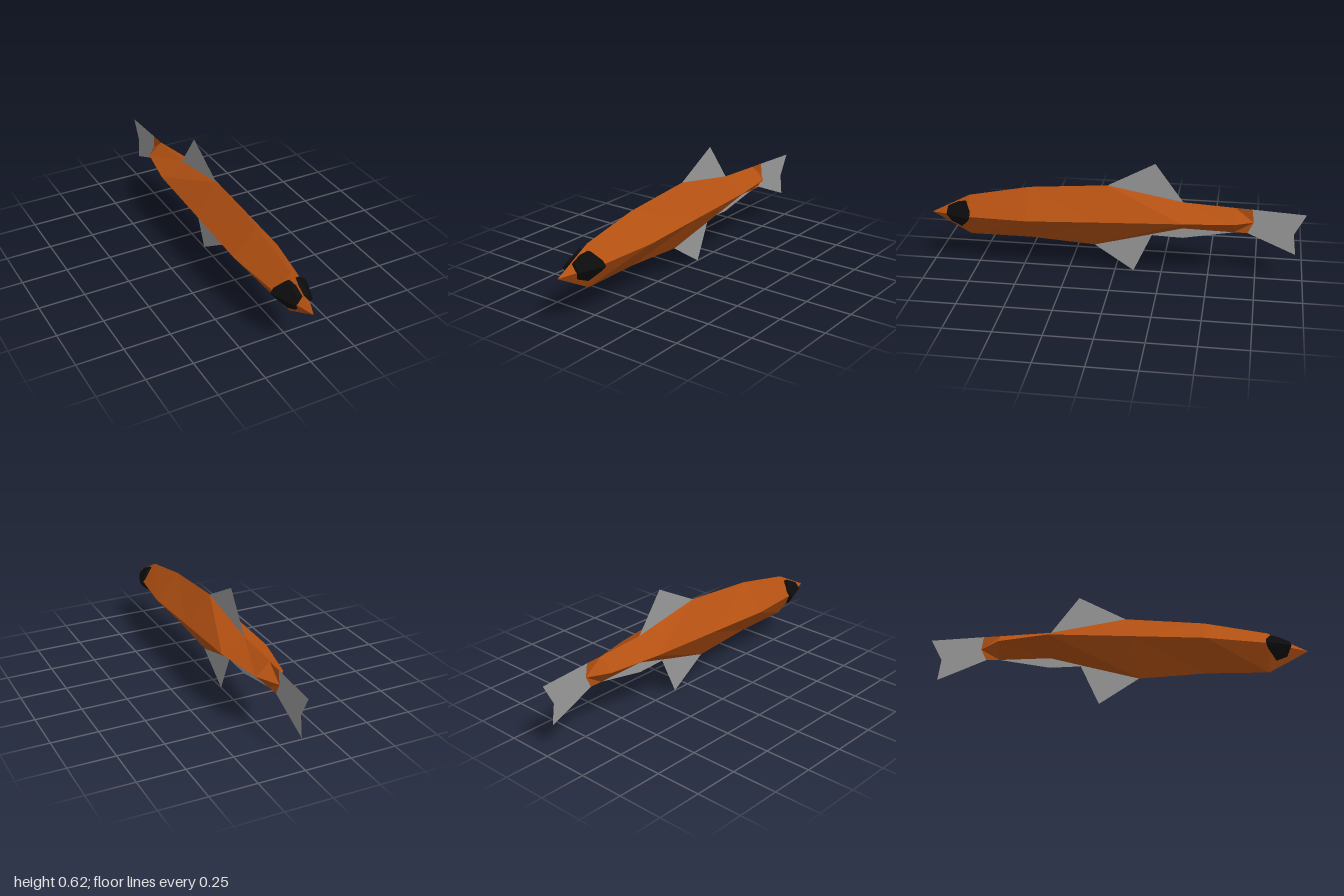
import * as THREE from 'three';

const mat = (name, hex, side = THREE.FrontSide) => {
  const m = new THREE.MeshStandardMaterial({ color: hex, flatShading: true, side });
  m.name = name;
  return m;
};

// Mesh from a list of triangles, each holding three [x, y, z] corners
function triMesh(name, tris, material) {
  const g = new THREE.BufferGeometry();
  g.setAttribute('position', new THREE.Float32BufferAttribute(tris.flat(2), 3));
  g.computeVertexNormals();
  const mesh = new THREE.Mesh(g, material);
  mesh.name = name;
  return mesh;
}

// Upright sheet on the centre plane, outlined by [z, y] points
function sheet(name, points, material) {
  const g = new THREE.ShapeGeometry(new THREE.Shape(points.map(([z, y]) => new THREE.Vector2(-z, y))));
  g.rotateY(Math.PI / 2);
  const mesh = new THREE.Mesh(g, material);
  mesh.name = name;
  return mesh;
}

// Same triangles on the other side of the body
const mirror = (tris) => tris.map((t) => t.map(([x, y, z]) => [-x, y, z]).reverse());

// Diamond sections, nose to tail: [topZ, topY, sideZ, sideY, halfWidth, bottomZ, bottomY]
const SECTIONS = [
  [1.0, 0.28, 1.0, 0.28, 0, 1.0, 0.28],
  [0.79, 0.39, 0.79, 0.295, 0.08, 0.79, 0.163],
  [0.46, 0.455, 0.46, 0.31, 0.125, 0.46, 0.163],
  [0.04, 0.488, 0.07, 0.327, 0.125, 0.11, 0.14],
  [-0.36, 0.415, -0.36, 0.345, 0.125, -0.36, 0.265],
  [-0.63, 0.4, -0.63, 0.335, 0.075, -0.63, 0.26],
  [-0.73, 0.322, -0.73, 0.322, 0, -0.7, 0.26],
];

function bodyTriangles() {
  const rings = SECTIONS.map(([tz, ty, sz, sy, w, bz, by]) => ({
    t: [0, ty, tz], s: [w, sy, sz], b: [0, by, bz],
  }));
  const half = [];
  for (let i = 0; i < rings.length - 1; i++) {
    const p = rings[i], q = rings[i + 1];
    half.push([p.t, p.s, q.s], [p.t, q.s, q.t], [p.s, p.b, q.s], [q.s, p.b, q.b]);
  }
  // drop the collapsed triangles at nose and tail
  const solid = half.filter((t) => new Set(t.map(String)).size === 3);
  return [...solid, ...mirror(solid)];
}

// Eye: faceted patch wrapped over the head's side ridge and raised above it
function eyeTriangles() {
  const ridge = 0.293;
  const at = (z, y, lift) => {
    const k = (1 - z) / 0.21;
    const h = (y > ridge ? 0.1 : 0.13) * k;
    return [0.08 * k * (1 - Math.abs(y - ridge) / h) + lift, y, z];
  };
  const upper = [[0.775, ridge], [0.775, 0.318], [0.805, 0.362], [0.85, 0.352], [0.905, 0.325], [0.908, ridge]];
  const lower = [[0.908, ridge], [0.887, 0.245], [0.83, 0.22], [0.785, 0.27], [0.775, ridge]];
  const tris = [];
  for (const pts of [upper, lower]) {
    const out = pts.map(([z, y]) => at(z, y, 0.018));
    const inn = pts.map(([z, y]) => at(z, y, -0.015));
    for (let i = 1; i < pts.length - 1; i++) tris.push([out[0], out[i + 1], out[i]]);
    for (let i = 0; i < pts.length - 1; i++) {
      tris.push([out[i], out[i + 1], inn[i]], [out[i + 1], inn[i + 1], inn[i]]);
    }
  }
  return tris;
}

export function createModel() {
  const skin = mat('orange brown skin', 0xb35012, THREE.DoubleSide);
  const finGrey = mat('grey fin', 0x999999, THREE.DoubleSide);
  const black = mat('black eye', 0x0c0c0c, THREE.DoubleSide);
  const fish = new THREE.Group();
  fish.name = 'fish';

  fish.add(triMesh('body', bodyTriangles(), skin));
  // Thin flap of skin at the root of the tail
  fish.add(sheet('tailRoot', [[-0.63, 0.4], [-0.72, 0.396], [-0.73, 0.322]], skin));

  const eye = eyeTriangles();
  fish.add(triMesh('leftEye', eye, black), triMesh('rightEye', mirror(eye), black));

  // Fins
  fish.add(
    sheet('dorsalFin', [[0.04, 0.488], [-0.21, 0.622], [-0.36, 0.415]], finGrey),
    sheet('pelvicFin', [[0.11, 0.14], [-0.1, 0], [-0.2, 0.222]], finGrey),
    sheet('analFin', [[-0.2, 0.215], [-0.36, 0.21], [-0.63, 0.26], [-0.36, 0.265], [-0.19, 0.22]], finGrey),
    sheet('tailFin', [[-0.72, 0.396], [-1, 0.38], [-0.94, 0.265], [-0.955, 0.15], [-0.7, 0.26], [-0.73, 0.322]], finGrey),
  );
  return fish;
}
